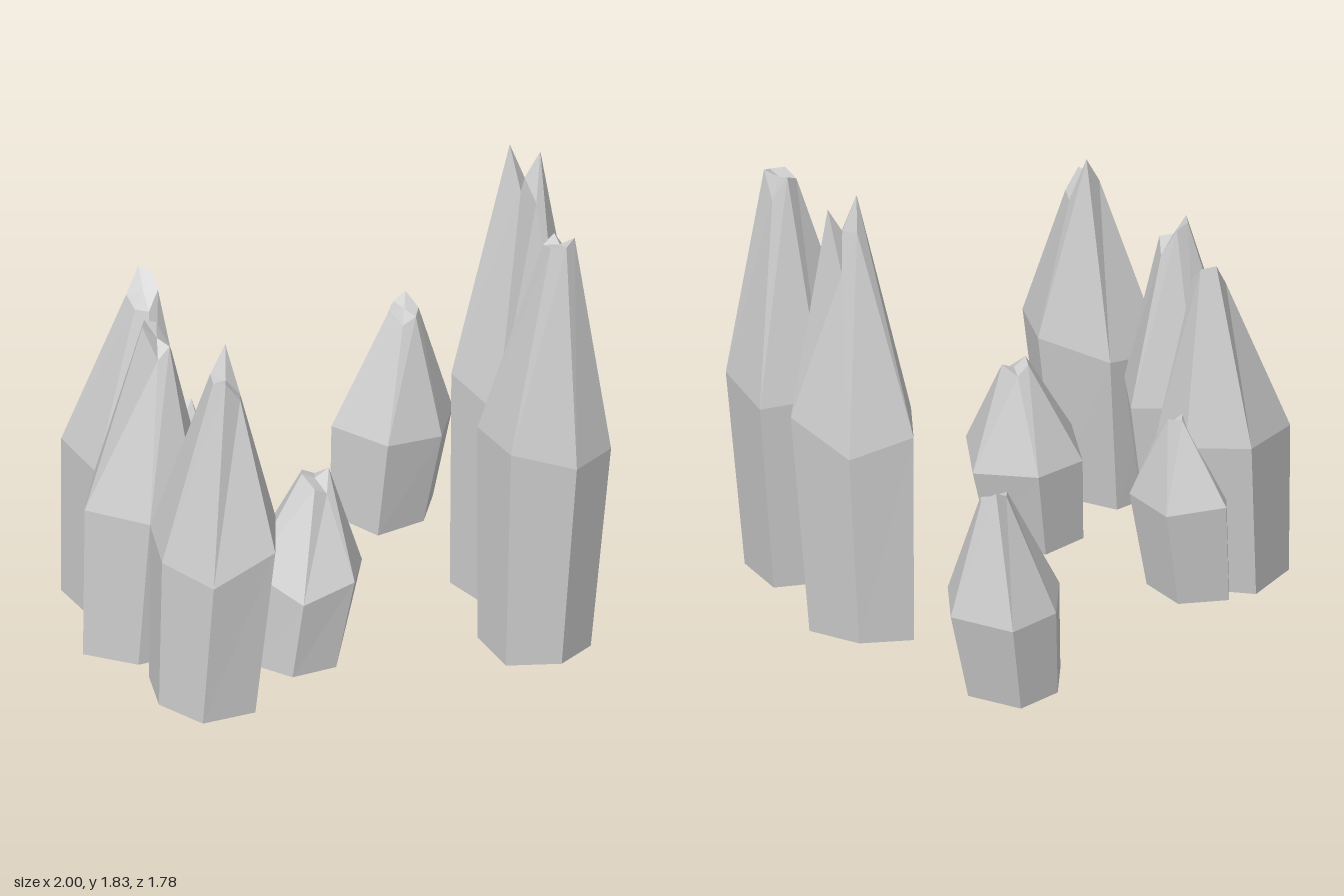
import * as THREE from 'three';

const stone = new THREE.MeshStandardMaterial({ color: 0xcccccc, flatShading: true });
stone.name = 'pale grey stone';

// One leaning six-sided crystal. Each row is a shoulder corner x, y, z
// and the height of the jagged tip above that corner.
function crystal(name, corners) {
  const mean = k => corners.reduce((sum, c) => sum + c[k], 0) / corners.length;
  const cx = mean(0), cz = mean(2);
  const ring = (scale, lean, height) => corners.map(c =>
    [cx + lean + (c[0] - cx) * scale, height(c), cz + (c[2] - cz) * scale]);
  const rings = [
    ring(0.85, -0.047, () => 0),
    ring(1, 0, c => c[1]),
    ring(0.24, 0.047, c => c[3]),
  ];
  const foot = [cx - 0.047, 0, cz];
  const peak = [cx + 0.047, mean(3), cz];

  const points = [];
  corners.forEach((_, i) => {
    const j = (i + 1) % corners.length;
    points.push(foot, rings[0][i], rings[0][j]);
    for (let r = 0; r < 2; r++) {
      const low = rings[r], high = rings[r + 1];
      points.push(low[j], low[i], high[i], low[j], high[i], high[j]);
    }
    points.push(peak, rings[2][j], rings[2][i]);
  });
  const geometry = new THREE.BufferGeometry();
  geometry.setAttribute('position', new THREE.Float32BufferAttribute(points.flat(), 3));
  geometry.computeVertexNormals();
  const mesh = new THREE.Mesh(geometry, stone);
  mesh.name = name;
  return mesh;
}

export function createModel() {
  const group = new THREE.Group();
  group.name = 'crystalCluster';
  group.add(
    // Left-hand row, from back to front
    crystal('backSmallCrystal', [
      [0.56, 0.36, -0.87, 0.83], [0.79, 0.36, -0.89, 0.86], [0.89, 0.36, -0.64, 0.81],
      [0.735, 0.36, -0.435, 0.8], [0.485, 0.39, -0.40, 0.78], [0.395, 0.37, -0.69, 0.82],
    ]),
    crystal('tallCrystal', [
      [0.70, 0.89, -0.19, 1.7], [0.91, 0.81, -0.06, 1.53], [1.0, 0.93, 0.18, 1.79],
      [0.825, 0.83, 0.375, 1.6], [0.57, 0.83, 0.33, 1.66], [0.53, 0.88, 0.03, 1.83],
    ]),
    crystal('frontTallCrystal', [
      [0.65, 0.81, 0.41, 1.69], [0.87, 0.79, 0.52, 1.6], [0.815, 0.83, 0.79, 1.7],
      [0.615, 0.83, 0.89, 1.68], [0.385, 0.90, 0.79, 1.68], [0.405, 0.88, 0.48, 1.66],
    ]),
    // Centre crystal
    crystal('centreSmallCrystal', [
      [-0.36, 0.35, 0.08, 0.74], [-0.125, 0.36, 0.06, 0.71], [0.005, 0.33, 0.295, 0.75],
      [-0.14, 0.36, 0.51, 0.67], [-0.36, 0.31, 0.51, 0.7], [-0.475, 0.39, 0.285, 0.75],
    ]),
    // Right-hand row, from front to back
    crystal('frontMediumCrystal', [
      [-0.845, 0.62, 0.18, 1.32], [-0.575, 0.66, 0.175, 1.43], [-0.455, 0.695, 0.46, 1.24],
      [-0.59, 0.68, 0.715, 1.25], [-0.85, 0.58, 0.705, 1.33], [-0.935, 0.6, 0.445, 1.31],
    ]),
    crystal('sideMediumCrystal', [
      [-0.845, 0.62, -0.29, 1.33], [-0.635, 0.62, -0.27, 1.31], [-0.465, 0.6, -0.08, 1.2],
      [-0.62, 0.6, 0.145, 1.25], [-0.825, 0.6, 0.14, 1.2], [-0.995, 0.61, -0.07, 1.33],
    ]),
    crystal('backMediumCrystal', [
      [-0.805, 0.63, -0.62, 1.25], [-0.535, 0.65, -0.715, 1.35], [-0.37, 0.63, -0.52, 1.33],
      [-0.40, 0.6, -0.31, 1.28], [-0.62, 0.59, -0.20, 1.21], [-0.815, 0.62, -0.315, 1.22],
    ]),
    crystal('backLowCrystal', [
      [-0.435, 0.42, -0.685, 0.74], [-0.235, 0.4, -0.57, 0.75], [-0.255, 0.4, -0.325, 0.68],
      [-0.445, 0.4, -0.20, 0.66], [-0.56, 0.4, -0.31, 0.7], [-0.545, 0.4, -0.555, 0.75],
    ]),
  );
  return group;
}
